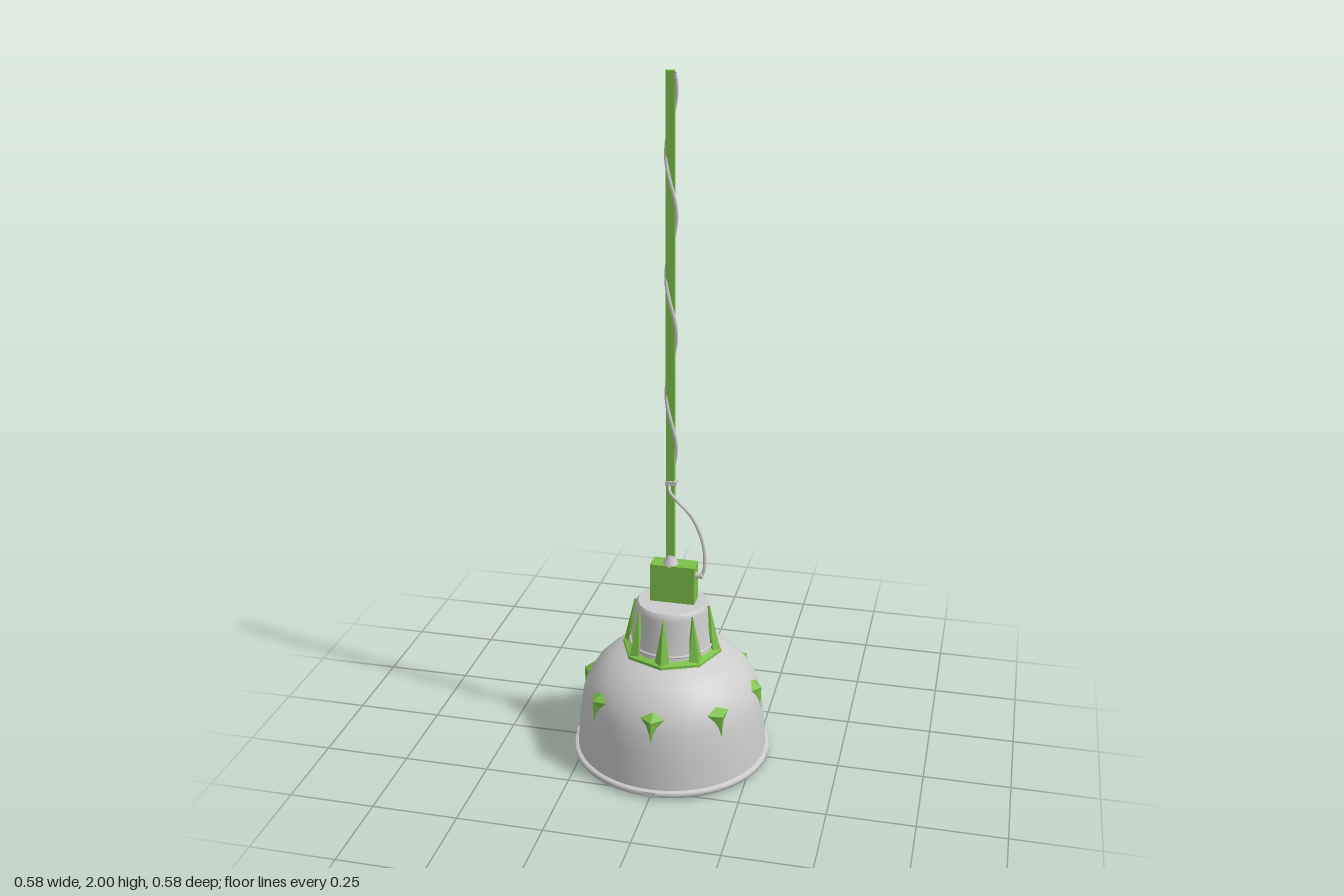
import * as THREE from 'three';

const grey = new THREE.MeshStandardMaterial({ color: 0xcccccc, side: THREE.DoubleSide });
const green = new THREE.MeshStandardMaterial({ color: 0x7cc048, side: THREE.DoubleSide, flatShading: true });

export function createModel() {
  const model = new THREE.Group();
  const add = (name, geometry, material, x = 0, y = 0, z = 0, parent = model) => {
    const mesh = new THREE.Mesh(geometry, material);
    mesh.name = name;
    mesh.position.set(x, y, z);
    parent.add(mesh);
    return mesh;
  };
  const lathe = (pts, segments) =>
    new THREE.LatheGeometry(pts.map(([r, y]) => new THREE.Vector2(r, y)), segments);
  // Faceted shell from corner points and triangles
  const facets = (points, triangles) => {
    const g = new THREE.BufferGeometry();
    g.setAttribute('position', new THREE.Float32BufferAttribute(points.flat(), 3));
    g.setIndex(triangles.flat());
    const flat = g.toNonIndexed();
    flat.computeVertexNormals();
    return flat;
  };

  // Bell shade, neck and rim
  add('shade', lathe([[0.28, 0.02], [0.277, 0.07], [0.271, 0.14], [0.262, 0.2], [0.248, 0.24],
    [0.225, 0.277], [0.195, 0.308], [0.16, 0.332], [0.124, 0.346]], 48), grey);
  add('neck', lathe([[0.124, 0.345], [0.119, 0.37], [0.112, 0.42], [0.107, 0.475], [0.104, 0.488], [0.098, 0.495]], 40), grey);
  add('neckCap', new THREE.CircleGeometry(0.098, 40).rotateX(-Math.PI / 2), grey, 0, 0.495);
  add('rim', lathe([[0.277, 0.009], [0.284, 0.009], [0.284, 0.012], [0.291, 0.014], [0.292, 0.024],
    [0.288, 0.029], [0.279, 0.03]], 64), grey);
  add('glass', new THREE.CylinderGeometry(0.278, 0.278, 0.008, 48), green, 0, 0.009);

  // Octagonal collar and wire ring round the neck
  add('collar', lathe([[0.148, 0.342], [0.147, 0.35], [0.128, 0.358], [0.118, 0.358]], 8), green);
  add('wireRing', new THREE.TorusGeometry(0.121, 0.004, 8, 48).rotateX(Math.PI / 2), grey, 0, 0.37);

  // Fins and star studs, eight of each
  const finShape = facets([
    [-0.022, 0.35, 0.128], [0.022, 0.35, 0.128], [0, 0.35, 0.144],
    [0, 0.485, 0.112], [0, 0.485, 0.095], [0, 0.35, 0.1],
  ], [[0, 2, 3], [2, 1, 3], [1, 4, 3], [0, 3, 4], [0, 4, 5], [1, 5, 4]]);
  const studShape = facets([
    [0, 0.262, 0.23], [-0.052, 0.243, 0.234], [-0.02, 0.215, 0.25], [0, 0.17, 0.266],
    [0.02, 0.215, 0.25], [0.052, 0.243, 0.234], [0, 0.238, 0.268],
  ], [0, 1, 2, 3, 4, 5].map((i) => [i, (i + 1) % 6, 6]));
  for (let i = 0; i < 8; i++) {
    const a = (i * Math.PI) / 4;
    add('fin', finShape, green).rotation.y = a;
    add('stud', studShape, green).rotation.y = a;
  }

  // Rim clips
  for (let i = 0; i < 4; i++) {
    const a = (i * Math.PI) / 2;
    add('rimClip', new THREE.BoxGeometry(0.036, 0.018, 0.008), grey,
      0.288 * Math.sin(a), 0.02, 0.288 * Math.cos(a)).rotation.y = a;
  }

  // Junction box, foot and hanging rod
  add('junctionBox', new THREE.BoxGeometry(0.13, 0.115, 0.054), green, 0.005, 0.5525, -0.005);
  add('rodFoot', new THREE.CylinderGeometry(0.011, 0.024, 0.03, 12), grey, -0.004, 0.622);
  add('rod', new THREE.BoxGeometry(0.024, 1.39, 0.014), green, -0.004, 1.305);
  add('cableSocket', new THREE.CylinderGeometry(0.009, 0.009, 0.025, 12).rotateZ(Math.PI / 2), grey, 0.078, 0.58);
  add('cableClip', new THREE.BoxGeometry(0.032, 0.012, 0.024), grey, -0.002, 0.862);

  // Cable: slack loop from the box, then a winding up the rod
  const path = [[0.07, 0.58, 0], [0.09, 0.588, 0], [0.095, 0.64, -0.004], [0.083, 0.7, -0.006],
    [0.055, 0.765, 0.002], [0.018, 0.81, 0.01], [-0.004, 0.84, 0.013]]
    .map((p) => new THREE.Vector3(...p));
  for (let i = 0; i <= 68; i++) {
    const y = 0.87 + (i * 1.125) / 68;
    const a = ((y - 1.3) * Math.PI * 2) / 0.33;
    path.push(new THREE.Vector3(-0.002 + 0.014 * Math.cos(a), y, 0.01 * Math.sin(a)));
  }
  add('cable', new THREE.TubeGeometry(new THREE.CatmullRomCurve3(path), 260, 0.005, 8), grey);

  return model;
}
